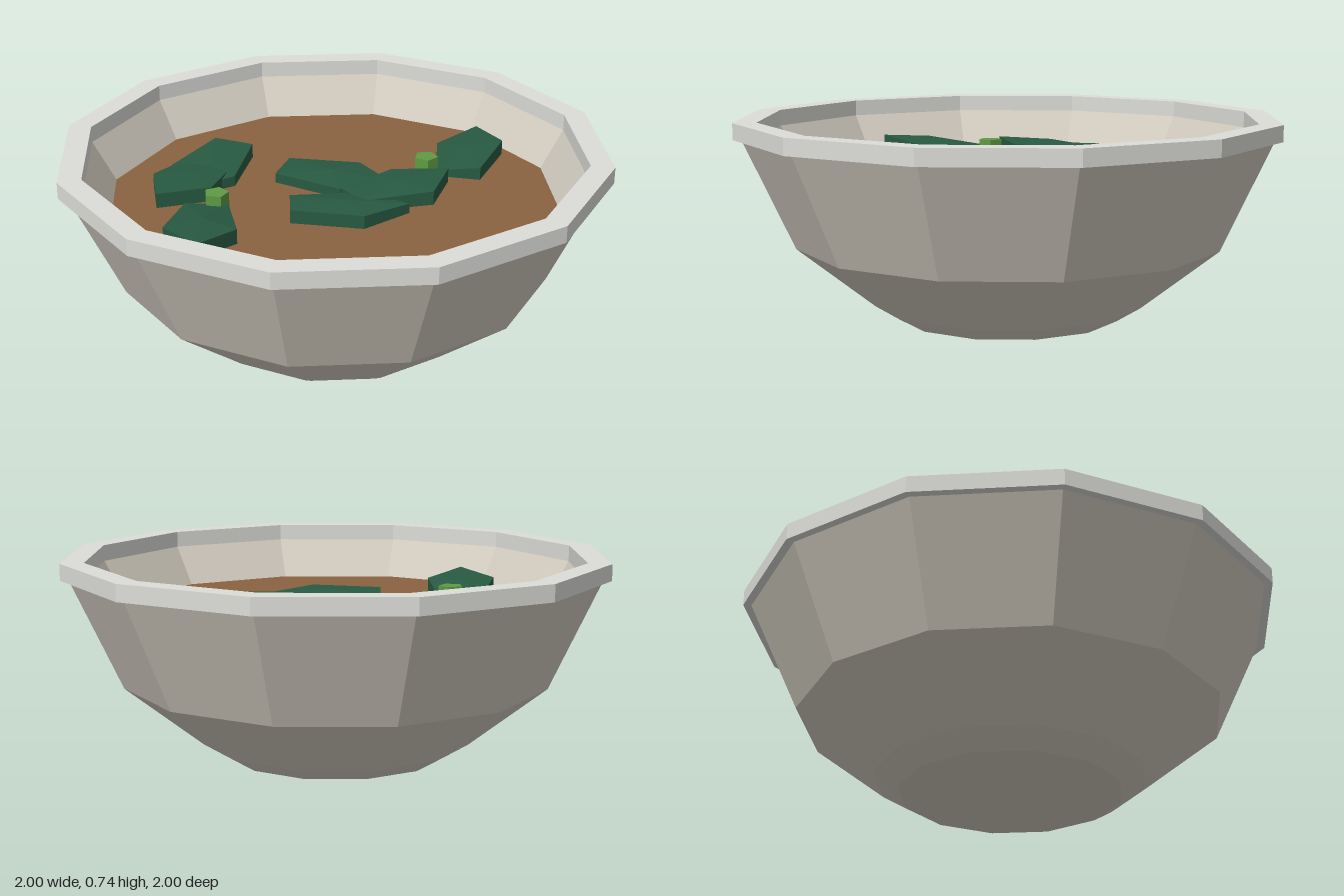
import * as THREE from 'three';

const SIDES = 12;
const SOUP_Y = 0.535;

const flat = (color) => new THREE.MeshStandardMaterial({ color, flatShading: true });
const materials = {
  bowl: flat(0xd2ccc0),
  rim: flat(0xdcddd8),
  soup: flat(0x8a6240),
  leaf: flat(0x285a42),
  stalk: flat(0x5f9a42),
};

function addPart(parent, name, geometry, material) {
  const mesh = new THREE.Mesh(geometry, material);
  mesh.name = name;
  parent.add(mesh);
  return mesh;
}

// Faceted ring or shell turned from a profile of [radius, height] pairs
function turned(profile) {
  const points = profile.map(([r, y]) => new THREE.Vector2(r, y));
  return new THREE.LatheGeometry(points, SIDES).toNonIndexed();
}

// Thick leaf: a low-peaked fan on top, straight sides and a flat underside.
// The outline [x, z] runs counter-clockwise seen from above.
function leafGeometry(outline, height, slopeX = 0, slopeZ = 0) {
  const n = outline.length;
  const cx = outline.reduce((s, p) => s + p[0], 0) / n;
  const cz = outline.reduce((s, p) => s + p[1], 0) / n;
  const point = (x, z, lift) => [x, height + lift + (x - cx) * slopeX + (z - cz) * slopeZ, z];
  const peak = point(cx, cz, 0.014);
  const under = point(cx, cz, -0.055);
  const positions = [];
  for (let i = 0; i < n; i++) {
    const [ax, az] = outline[i];
    const [bx, bz] = outline[(i + 1) % n];
    const a = point(ax, az, 0), b = point(bx, bz, 0);
    const c = point(ax, az, -0.055), d = point(bx, bz, -0.055);
    positions.push(...peak, ...a, ...b);
    positions.push(...a, ...c, ...d, ...a, ...d, ...b);
    positions.push(...under, ...d, ...c);
  }
  const geometry = new THREE.BufferGeometry();
  geometry.setAttribute('position', new THREE.Float32BufferAttribute(positions, 3));
  geometry.computeVertexNormals();
  return geometry;
}

export function createModel() {
  const model = new THREE.Group();
  model.name = 'soupBowl';

  // Bowl: outer wall from the foot up, and the inner wall down to the soup
  addPart(model, 'bowlOuter',
    turned([[0, 0], [0.41, 0], [0.5, 0.055], [0.785, 0.28], [0.97, 0.68]]), materials.bowl);
  addPart(model, 'bowlInner', turned([[0.915, 0.68], [0.83, SOUP_Y]]), materials.bowl);

  // Rim: square-section band overhanging the wall
  addPart(model, 'rim',
    turned([[0.915, 0.68], [1, 0.68], [1, 0.74], [0.915, 0.74], [0.915, 0.68]]), materials.rim);

  // Soup surface
  const soup = addPart(model, 'soup', new THREE.CircleGeometry(0.83, SIDES), materials.soup);
  soup.rotation.x = -Math.PI / 2;
  soup.position.y = SOUP_Y;

  // Floating leaves: each outline starts at its tip
  const leaves = new THREE.Group();
  leaves.name = 'leaves';
  model.add(leaves);
  [
    { outline: [[0.44, -0.69], [0.305, -0.535], [0.34, -0.265], [0.505, -0.26], [0.56, -0.52]], y: 0.572, sx: 0.15 },
    { outline: [[0.195, -0.1], [0.05, -0.25], [-0.22, -0.24], [-0.24, -0.09], [0.02, 0]], y: 0.572 },
    { outline: [[0.39, -0.22], [0.18, -0.195], [0.03, 0], [0.12, 0.1], [0.365, -0.01]], y: 0.582, sx: 0.04 },
    { outline: [[0.29, 0.075], [0.12, -0.005], [-0.145, 0.09], [-0.11, 0.24], [0.155, 0.235]], y: 0.576, sz: 0.08 },
    { outline: [[-0.53, 0.1], [-0.38, -0.03], [-0.38, -0.305], [-0.535, -0.335], [-0.635, -0.08]], y: 0.58, sz: -0.05 },
    { outline: [[-0.605, 0.225], [-0.43, 0.115], [-0.405, -0.155], [-0.57, -0.22], [-0.675, 0.03]], y: 0.583, sz: 0.06 },
    { outline: [[-0.345, 0.625], [-0.25, 0.445], [-0.345, 0.195], [-0.5, 0.22], [-0.5, 0.49]], y: 0.59, sz: 0.12 },
  ].forEach(({ outline, y, sx, sz }) => {
    addPart(leaves, 'leaf', leafGeometry(outline, y, sx, sz), materials.leaf);
  });

  // Chopped stalks: short five-sided prisms
  [[0.295, -0.295, 0.6, Math.PI / 2], [-0.39, 0.195, 0.61, Math.PI]].forEach(([x, z, top, turn]) => {
    const geometry = new THREE.CylinderGeometry(0.046, 0.046, 0.1, 5, 1, false, turn);
    addPart(model, 'stalk', geometry, materials.stalk).position.set(x, top - 0.05, z);
  });

  return model;
}
